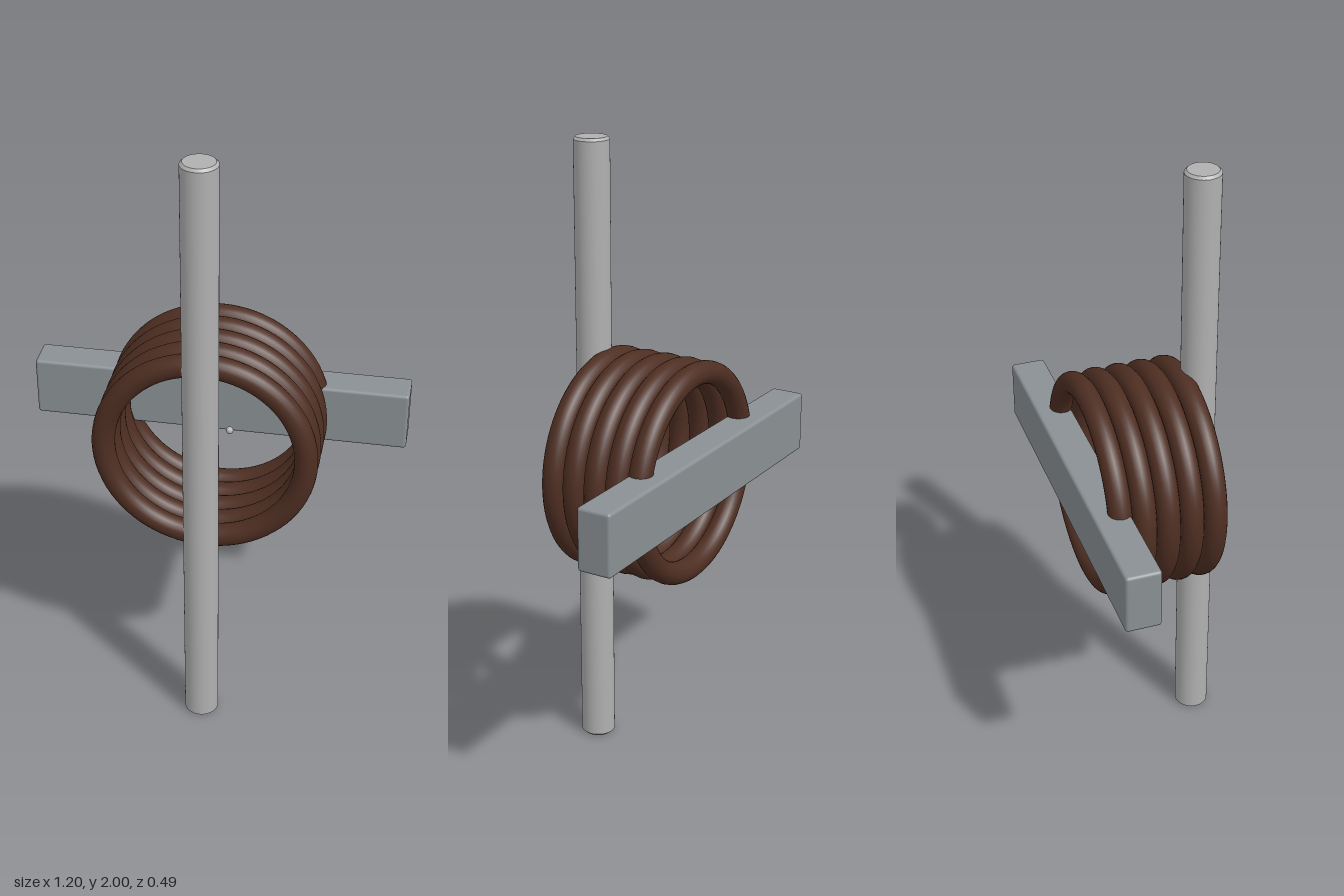
import * as THREE from 'three';
import { RoundedBoxGeometry } from 'three/addons/geometries/RoundedBoxGeometry.js';

export function createModel() {
  const model = new THREE.Group();
  model.name = 'coilAssembly';

  const material = (name, color) => {
    const m = new THREE.MeshStandardMaterial({ color });
    m.name = name;
    return m;
  };
  const poleGrey = material('pale grey', 0xb0b0b0);
  const barGrey = material('steel grey', 0x8a9094);
  const brown = material('dark brown', 0x4e2e22);

  const add = (name, geometry, mat, x, y, z) => {
    const mesh = new THREE.Mesh(geometry, mat);
    mesh.name = name;
    mesh.position.set(x, y, z);
    model.add(mesh);
    return mesh;
  };

  // Upright pole with small chamfers at both ends
  const r = 0.055, c = 0.008;
  const profile = [[0, 0], [r - c, 0], [r, c], [r, 2 - c], [r - c, 2], [0, 2]]
    .flatMap(([x, y], i) => (i > 0 && i < 5 ? [new THREE.Vector2(x, y), new THREE.Vector2(x, y)] : [new THREE.Vector2(x, y)]));
  // Repeated points keep the chamfer edges crisp
  add('pole', new THREE.LatheGeometry(profile, 40), poleGrey, 0, 0, 0.188);

  // Stack of five rings
  const ring = new THREE.TorusGeometry(0.314, 0.036, 20, 80);
  for (let i = 0; i < 5; i++) add('coilRing' + (i + 1), ring, brown, 0, 1.003, 0.132 - i * 0.0738);

  // Horizontal bar behind the rings
  add('crossbar', new RoundedBoxGeometry(1.196, 0.196, 0.11, 3, 0.01), barGrey, 0, 1.003, -0.19);

  // Pair of tiny beads inside the coil
  const bead = new THREE.SphereGeometry(0.012, 16, 12);
  for (const side of [-1, 1]) add(side < 0 ? 'rightBead' : 'leftBead', bead, poleGrey, side * 0.05, 0.975, -0.04);

  return model;
}
